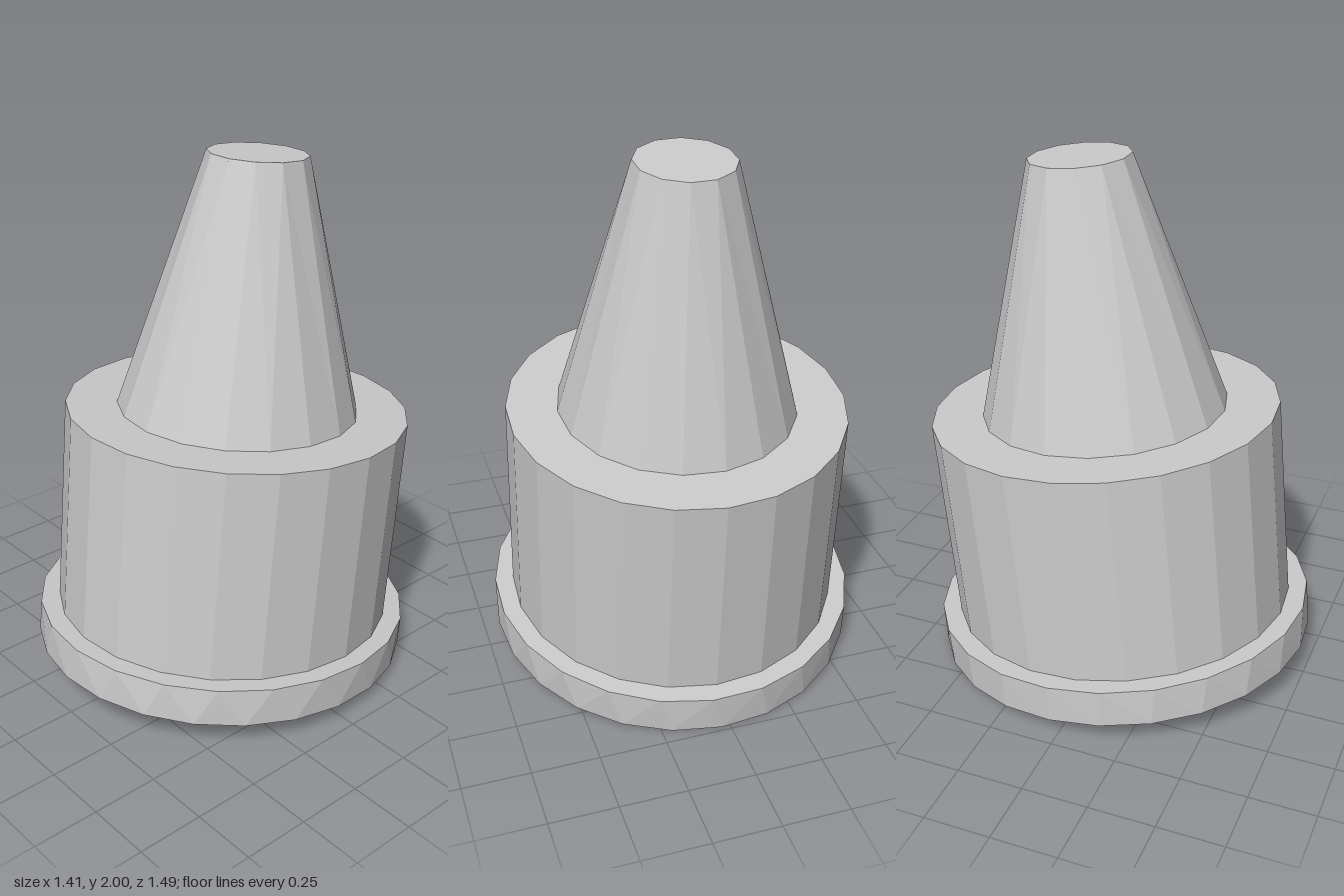
import * as THREE from 'three';

const TAU = Math.PI * 2;
const X_SQUASH = 0.951; // cross-sections are slightly oval

// A ring: height y, radius r, number of corners n, turn of the first corner in degrees
const ring = (y, r, n, turn = 0) => ({ y, r, n, turn: (turn * Math.PI) / 180 });
const angleAt = (c, i) => c.turn + (i / c.n) * TAU;
const corner = (c, i) => {
  const a = angleAt(c, i % c.n);
  return [Math.sin(a) * c.r * X_SQUASH, c.y, Math.cos(a) * c.r];
};

// Triangles joining two rings whose corner counts may differ
function stitch(lower, upper) {
  const out = [];
  let i = 0, j = 0;
  while (i < lower.n || j < upper.n) {
    const stepLower = j >= upper.n ||
      (i < lower.n && angleAt(lower, i + 1) <= angleAt(upper, j + 1));
    if (stepLower) {
      out.push(...corner(lower, i), ...corner(lower, i + 1), ...corner(upper, j));
      i++;
    } else {
      out.push(...corner(lower, i), ...corner(upper, j + 1), ...corner(upper, j));
      j++;
    }
  }
  return out;
}

// Flat triangle fan closing a ring at the top
function cap(c) {
  const out = [];
  for (let i = 0; i < c.n; i++) out.push(...corner(c, i), ...corner(c, i + 1), 0, c.y, 0);
  return out;
}

export function createModel() {
  const material = new THREE.MeshStandardMaterial({
    color: 0xcccccc, flatShading: true, side: THREE.DoubleSide,
  });

  const flangeBottom = ring(0, 0.74, 24, -2.5);
  const flangeTop = ring(0.145, 0.74, 23, 2);
  const bodyBottom = ring(0.145, 0.666, 22, -3);
  const bodyTop = ring(0.96, 0.666, 22, -3);
  const coneBottom = ring(0.96, 0.469, 18, 4);
  const coneTop = ring(1.923, 0.19, 12, 16);

  // Hollow shell, open underneath
  const parts = {
    flange: stitch(flangeBottom, flangeTop),
    flangeLedge: stitch(flangeTop, bodyBottom),
    body: stitch(bodyBottom, bodyTop),
    shoulder: stitch(bodyTop, coneBottom),
    nozzleCone: stitch(coneBottom, coneTop),
    nozzleTip: cap(coneTop),
  };

  // The whole piece leans backwards
  const leaning = new THREE.Group();
  leaning.name = 'leaningNozzle';
  leaning.rotation.x = THREE.MathUtils.degToRad(-5.35);
  leaning.position.set(0, 0.07, 0.003);
  for (const [name, positions] of Object.entries(parts)) {
    const geometry = new THREE.BufferGeometry();
    geometry.setAttribute('position', new THREE.Float32BufferAttribute(positions, 3));
    geometry.computeVertexNormals();
    const mesh = new THREE.Mesh(geometry, material);
    mesh.name = name;
    leaning.add(mesh);
  }

  const model = new THREE.Group();
  model.name = 'nozzle';
  model.add(leaning);
  return model;
}
